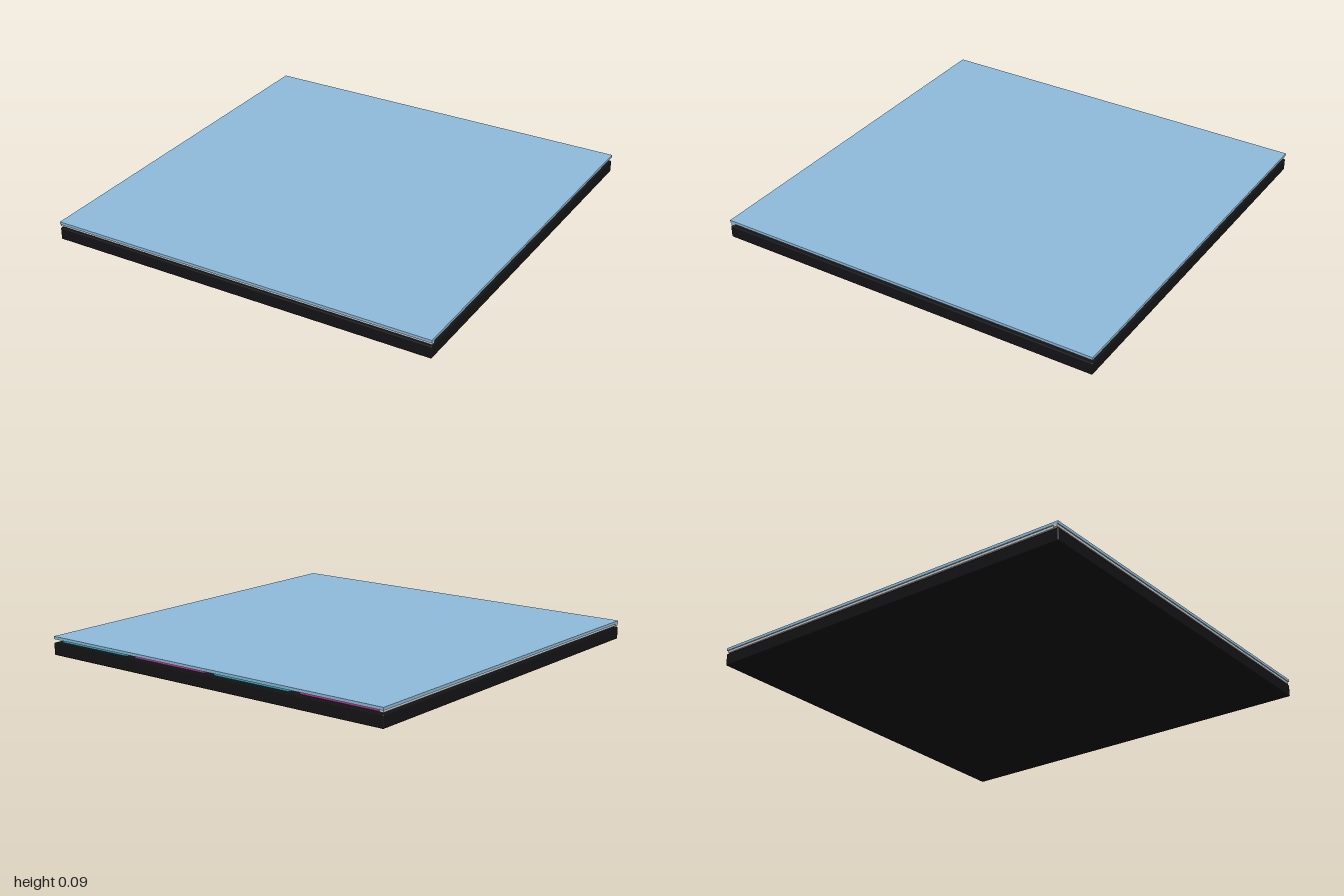
import * as THREE from 'three';
import { RoundedBoxGeometry } from 'three/addons/geometries/RoundedBoxGeometry.js';

export function createModel() {
  const model = new THREE.Group();
  const paint = (color) => new THREE.MeshStandardMaterial({ color });
  const black = paint(0x141416), cyan = paint(0x2fb5c4), magenta = paint(0xc4348f);
  const grey = paint(0xcccccc), blue = paint(0x8ebbda);

  const add = (name, geometry, material, x, y, z) => {
    const mesh = new THREE.Mesh(geometry, material);
    mesh.name = name;
    mesh.position.set(x, y, z);
    model.add(mesh);
  };

  // Dark slab with slightly softened edges
  add('base', new RoundedBoxGeometry(2, 0.062, 2, 2, 0.005), black, 0, 0.031, 0);

  // Four by four checkerboard of lit tiles
  const tile = new THREE.BoxGeometry(0.44, 0.018, 0.44);
  for (let i = 0; i < 4; i++) {
    for (let j = 0; j < 4; j++) {
      add('tile', tile, (i + j) % 2 ? cyan : magenta, -0.75 + i * 0.5, 0.071, -0.75 + j * 0.5);
    }
  }

  // Thin edge strips along the front and one side
  add('frontStrip', new THREE.BoxGeometry(2, 0.011, 0.02), grey, 0, 0.0745, 0.985);
  add('sideStrip', new THREE.BoxGeometry(0.02, 0.011, 1.97), grey, -0.985, 0.0745, -0.01);

  // Cover sheet
  add('coverPanel', new THREE.BoxGeometry(2, 0.014, 2), blue, 0, 0.087, 0);

  return model;
}
